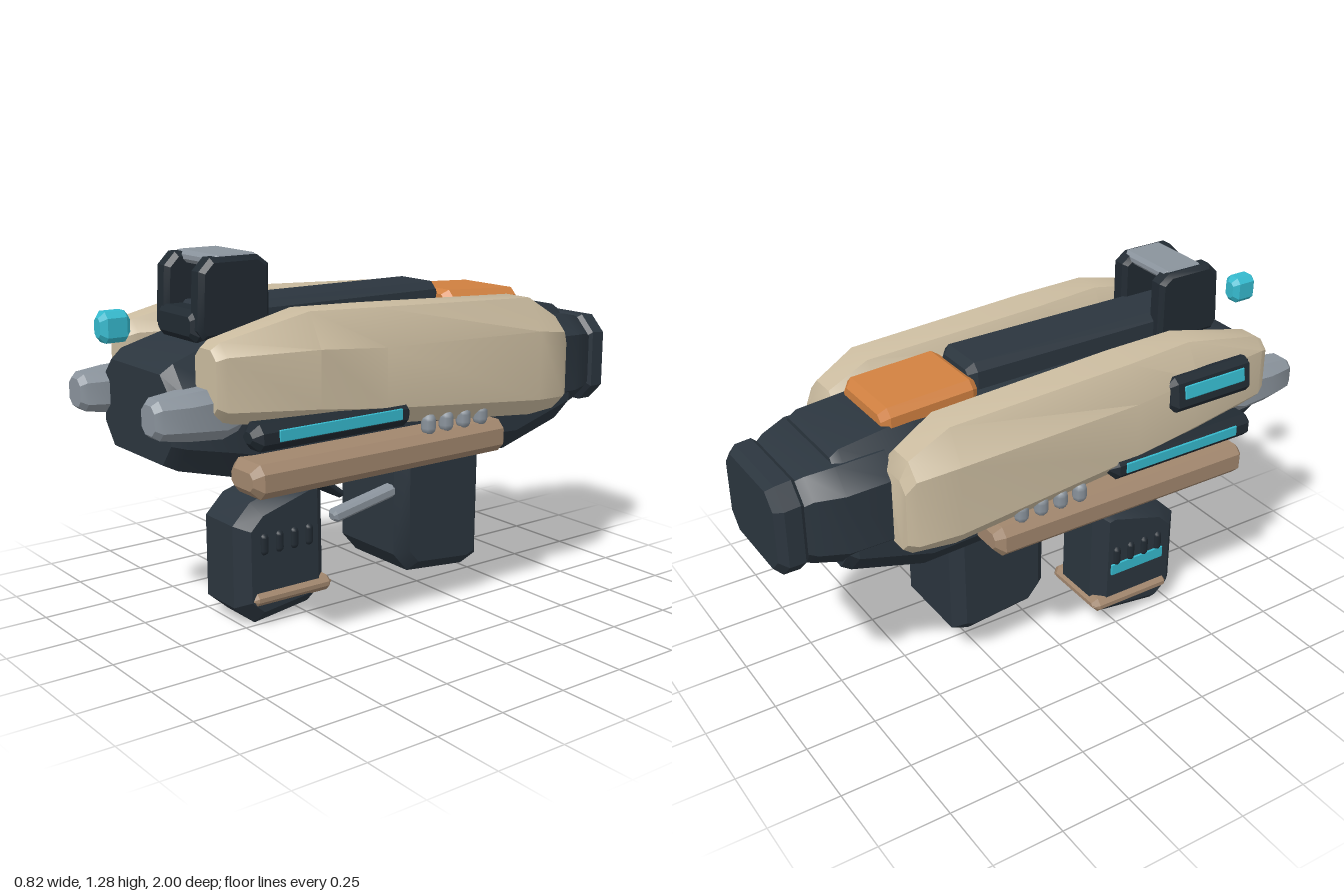
import * as THREE from 'three';
import { toCreasedNormals } from 'three/addons/utils/BufferGeometryUtils.js';

const mat = (name, color) => {
  const m = new THREE.MeshStandardMaterial({ color });
  m.name = name;
  return m;
};

// Octagonal ring: x range, y range, bottom chamfer (bx, by), top chamfer (tx, ty)
const ring = ([z, x0, x1, y0, y1, bx, by = bx, tx = bx, ty = by]) => [
  [x0 + bx, y0, z], [x1 - bx, y0, z], [x1, y0 + by, z], [x1, y1 - ty, z],
  [x1 - tx, y1, z], [x0 + tx, y1, z], [x0, y1 - ty, z], [x0, y0 + by, z],
];

// Skin through rings listed from back to front
function loft(sections) {
  const rings = sections.map(ring), p = [];
  const tri = (a, b, c) => p.push(...a, ...b, ...c);
  for (let i = 0; i < rings.length - 1; i++) {
    for (let k = 0; k < 8; k++) {
      const n = (k + 1) % 8, a = rings[i], b = rings[i + 1];
      tri(a[k], a[n], b[n]);
      tri(a[k], b[n], b[k]);
    }
  }
  const first = rings[0], last = rings[rings.length - 1];
  for (let k = 1; k < 7; k++) {
    tri(first[0], first[k + 1], first[k]);
    tri(last[0], last[k], last[k + 1]);
  }
  const g = new THREE.BufferGeometry();
  g.setAttribute('position', new THREE.Float32BufferAttribute(p, 3));
  return toCreasedNormals(g, 0.5);
}

// Box with every edge chamfered by c
const block = (x0, x1, y0, y1, z0, z1, c) => loft([
  [z0, x0 + c, x1 - c, y0 + c, y1 - c, c * 0.6],
  [z0 + c, x0, x1, y0, y1, c],
  [z1 - c, x0, x1, y0, y1, c],
  [z1, x0 + c, x1 - c, y0 + c, y1 - c, c * 0.6],
]);

// Side outline (z, y) given thickness along x, with bevelled rims
function slab(points, x0, x1, b) {
  const shape = new THREE.Shape(points.map(([z, y]) => new THREE.Vector2(z, y)));
  const g = new THREE.ExtrudeGeometry(shape, {
    depth: x1 - x0 - 2 * b, bevelEnabled: true, bevelSize: b, bevelThickness: b,
    bevelOffset: -b, bevelSegments: 1,
  });
  g.rotateY(-Math.PI / 2);
  g.translate(x1 - b, 0, 0);
  return toCreasedNormals(g, 0.5);
}

export function createModel() {
  const model = new THREE.Group();
  model.name = 'blaster';
  const dark = mat('charcoal', 0x2b353e), black = mat('dark trim', 0x212a32);
  const cream = mat('cream', 0xcabb9f), brown = mat('tan', 0xa1866d);
  const silver = mat('silver', 0x8a939c), orange = mat('orange', 0xd08040);
  const cyan = mat('cyan', 0x35b9cd);
  const add = (name, geometry, material) => {
    const m = new THREE.Mesh(geometry, material);
    m.name = name;
    model.add(m);
    return m;
  };
  // Mirror a section's x range to the chosen side
  const flip = (s, [z, a, b, ...rest]) => (s > 0 ? [z, a, b, ...rest] : [z, -b, -a, ...rest]);
  const sideBlock = (s, a, b, ...rest) => (s > 0 ? block(a, b, ...rest) : block(-b, -a, ...rest));

  // Core
  add('body', loft([
    [-0.79, -0.23, 0.23, 0.6, 0.99, 0.06, 0.08, 0.08, 0.1],
    [-0.76, -0.25, 0.25, 0.585, 1.01, 0.07, 0.08, 0.1, 0.12],
    [-0.5, -0.25, 0.25, 0.51, 1.04, 0.07, 0.08, 0.11, 0.15],
    [0.42, -0.25, 0.25, 0.55, 1.05, 0.07, 0.08, 0.11, 0.18],
    [0.65, -0.25, 0.25, 0.6, 1.04, 0.07, 0.09, 0.11, 0.18],
    [0.84, -0.235, 0.235, 0.65, 0.98, 0.06, 0.08, 0.07, 0.09],
    [0.88, -0.21, 0.21, 0.67, 0.95, 0.055, 0.07, 0.055, 0.06],
  ]), dark);
  add('rearHousing', loft([
    [-0.91, -0.2, 0.2, 0.65, 0.94, 0.06],
    [-0.88, -0.215, 0.215, 0.64, 0.955, 0.06],
    [-0.79, -0.255, 0.255, 0.63, 0.975, 0.07],
    [-0.62, -0.255, 0.255, 0.63, 0.98, 0.07],
  ]), dark);
  add('rearCap', loft([
    [-1, -0.18, 0.18, 0.65, 0.93, 0.05],
    [-0.975, -0.21, 0.21, 0.63, 0.95, 0.06],
    [-0.92, -0.21, 0.21, 0.63, 0.955, 0.06],
    [-0.9, -0.195, 0.195, 0.645, 0.94, 0.06],
  ]), dark);
  add('topSpine', block(-0.105, 0.105, 1.0, 1.13, -0.26, 0.68, 0.025), dark);
  add('topHatch', loft([
    [-0.6, -0.125, 0.125, 1.0, 1.06, 0.02],
    [-0.575, -0.148, 0.148, 1.0, 1.085, 0.025],
    [-0.28, -0.148, 0.148, 1.0, 1.1, 0.025],
    [-0.255, -0.13, 0.13, 1.0, 1.085, 0.02],
  ]), orange);

  // Mirrored side parts
  for (const s of [1, -1]) {
    add('sidePanel', loft([
      [-0.64, 0.2, 0.345, 0.69, 0.94, 0.035],
      [-0.61, 0.175, 0.365, 0.67, 1.0, 0.05],
      [-0.47, 0.147, 0.39, 0.67, 1.08, 0.05, 0.06, 0.065, 0.11],
      [0.2, 0.145, 0.39, 0.735, 1.11, 0.05, 0.06, 0.06, 0.12],
      [0.45, 0.155, 0.38, 0.765, 1.12, 0.05, 0.06, 0.06, 0.11],
      [0.76, 0.195, 0.345, 0.81, 1.055, 0.04],
      [0.79, 0.21, 0.33, 0.835, 1.035, 0.03],
    ].map((r) => flip(s, r))), cream);
    add('frontEmitter', loft([
      [0.68, 0.185, 0.295, 0.77, 0.9, 0.03],
      [0.74, 0.17, 0.31, 0.755, 0.915, 0.035],
      [0.86, 0.17, 0.31, 0.765, 0.91, 0.035],
      [0.95, 0.185, 0.295, 0.78, 0.9, 0.025],
      [0.97, 0.2, 0.28, 0.795, 0.885, 0.02],
    ].map((r) => flip(s, r))), silver);
    add('lowerRail', sideBlock(s, 0.21, 0.385, 0.57, 0.68, -0.335, 0.69, 0.027), brown);
    add('lightPod', sideBlock(s, 0.3, 0.402, 0.725, 0.81, 0.1, 0.7, 0.025), black);
    add('lightStrip', sideBlock(s, 0.398, 0.406, 0.753, 0.79, 0.15, 0.62, 0.002), cyan);
    for (let i = 0; i < 4; i++) {
      const rib = add('coolingRib', new THREE.CapsuleGeometry(0.025, 0.025, 4, 8), silver);
      rib.position.set(s * 0.35, 0.707, -0.002 - i * 0.076);
    }
  }

  // Single indicator on the right panel, leaning with its surface
  const pod = add('indicatorPod', block(-0.03, 0.03, -0.062, 0.062, -0.17, 0.17, 0.02), black);
  const lamp = add('indicatorLight', block(-0.034, -0.026, -0.018, 0.03, -0.125, 0.13, 0.003), cyan);
  for (const m of [pod, lamp]) {
    m.position.set(-0.378, 0.978, 0.5);
    m.rotation.z = -0.15;
  }

  // Sight
  const post = [[0.73, 1.06], [0.72, 1.24], [0.68, 1.28], [0.51, 1.28], [0.47, 1.25], [0.47, 1.03], [0.71, 1.03]];
  add('sightPostLeft', slab(post, 0.07, 0.14, 0.015), black);
  add('sightPostRight', slab(post, -0.14, -0.07, 0.015), black);
  add('sightBase', block(-0.12, 0.12, 1.02, 1.12, 0.5, 0.74, 0.02), black);
  add('sightBridge', block(-0.125, 0.125, 1.245, 1.285, 0.5, 0.66, 0.013), silver);
  add('aimingBead', block(-0.037, 0.037, 1.035, 1.13, 0.9, 1, 0.018), cyan);

  // Rear grip
  add('rearGrip', slab([
    [0.01, 0.58], [0.01, 0.21], [-0.05, 0.14], [-0.3, 0.115], [-0.365, 0.14], [-0.37, 0.58],
  ], -0.15, 0.225, 0.04), dark);

  // Front grip with base band and vents
  add('frontGrip', slab([
    [0.53, 0.07], [0.53, 0.36], [0.46, 0.43], [0.24, 0.495], [0.17, 0.48], [0.165, 0.08], [0.23, 0.03], [0.45, 0],
  ], -0.24, 0.02, 0.045), dark);
  add('gripBand', block(-0.255, 0.035, 0.07, 0.125, 0.155, 0.485, 0.02), brown);
  for (let i = 0; i < 4; i++) {
    for (const x of [0.015, -0.235]) {
      const vent = add('gripVent', new THREE.CapsuleGeometry(0.017, 0.045, 3, 8), black);
      vent.position.set(x, 0.29, 0.25 + i * 0.061);
    }
  }
  add('gripLight', block(-0.247, -0.238, 0.215, 0.26, 0.225, 0.455, 0.002), cyan);

  // Trigger plate and guard bar
  const trigger = add('triggerPlate', block(-0.155, 0.17, -0.013, 0.013, -0.075, 0.075, 0.01), black);
  trigger.position.set(0, 0.5, 0.265);
  trigger.rotation.x = -0.675;
  const guard = add('guardBar', block(-0.025, 0.025, -0.021, 0.021, -0.14, 0.14, 0.01), silver);
  guard.position.set(0.163, 0.417, 0.12);
  guard.rotation.x = 0.19;

  return model;
}
